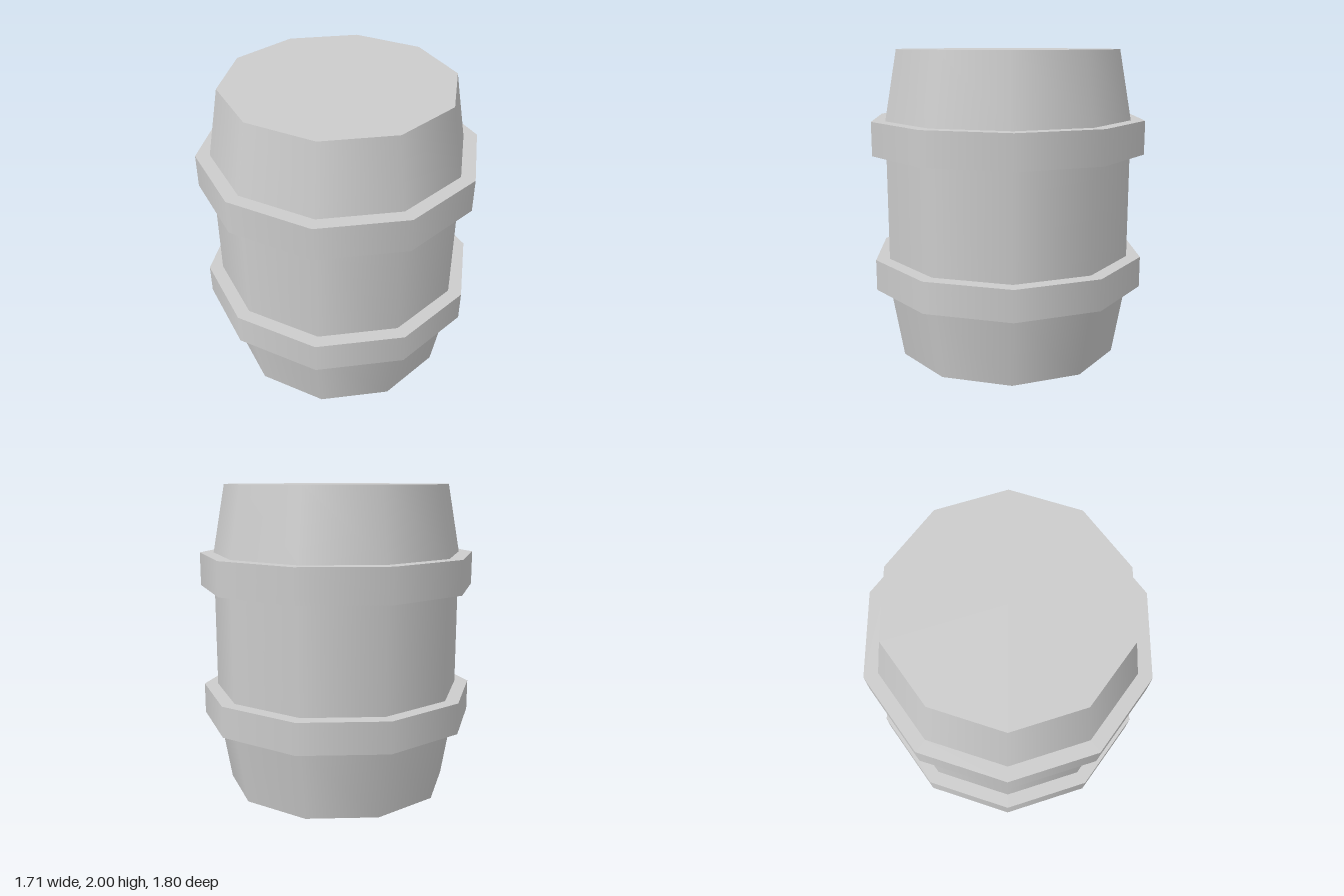
import * as THREE from 'three';
import { mergeGeometries } from 'three/addons/utils/BufferGeometryUtils.js';

const SIDES = 10;
const BODY_RADIUS = 0.81;
const material = new THREE.MeshStandardMaterial({ color: 0xcccccc });

// Revolves a profile so it is smooth around the axis but creased at every profile point
function revolve(name, profile) {
  const strips = [];
  for (let i = 0; i < profile.length - 1; i++) {
    const ends = [profile[i], profile[i + 1]].map(([r, y]) => new THREE.Vector2(r, y));
    strips.push(new THREE.LatheGeometry(ends, SIDES));
  }
  const mesh = new THREE.Mesh(mergeGeometries(strips), material);
  mesh.name = name;
  return mesh;
}

// Hoop wrapped around the straight middle of the barrel
function hoop(name, bottom, top) {
  return revolve(name, [[BODY_RADIUS, bottom], [0.9, bottom], [0.9, top], [BODY_RADIUS, top]]);
}

export function createModel() {
  const barrel = new THREE.Group();
  barrel.name = 'barrel';

  // Body with flat ends and tapered top and bottom
  barrel.add(revolve('barrelBody', [
    [0, 0], [0.73, 0], [BODY_RADIUS, 0.47], [BODY_RADIUS, 1.56], [0.73, 2], [0, 2],
  ]));

  barrel.add(hoop('lowerHoop', 0.47, 0.67));
  barrel.add(hoop('upperHoop', 1.345, 1.56));
  return barrel;
}
